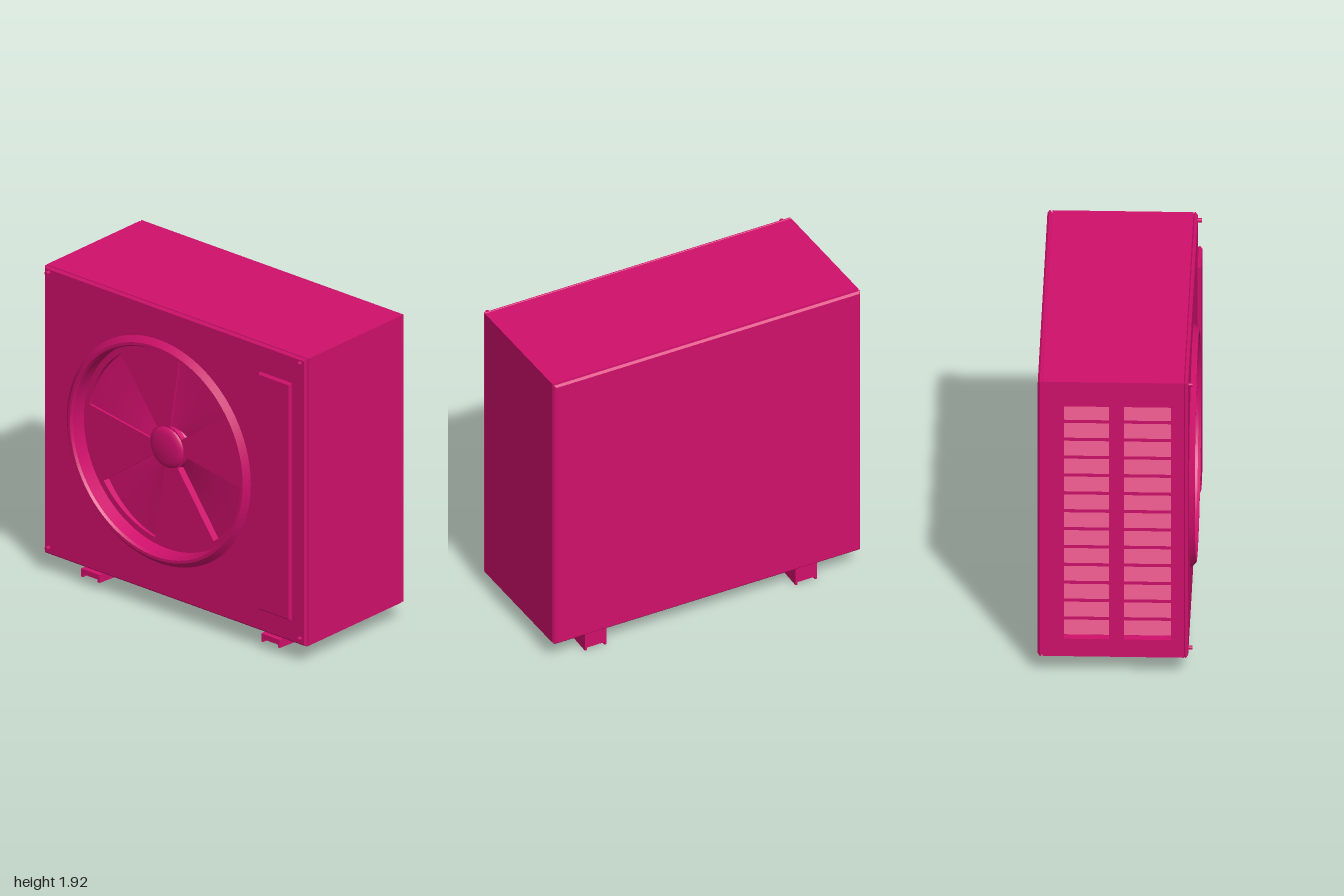
import * as THREE from 'three';
import { toCreasedNormals } from 'three/addons/utils/BufferGeometryUtils.js';

const material = new THREE.MeshStandardMaterial({ color: 0xd0106c, side: THREE.DoubleSide });

export function createModel() {
  const model = new THREE.Group();

  function add(name, geometry, x = 0, y = 0, z = 0, parent = model) {
    const mesh = new THREE.Mesh(toCreasedNormals(geometry, 0.5), material);
    mesh.name = name;
    mesh.position.set(x, y, z);
    parent.add(mesh);
    return mesh;
  }
  const box = (name, w, h, d, x, y, z, parent) =>
    add(name, new THREE.BoxGeometry(w, h, d), x, y, z, parent);

  // Rectangle outline, usable as a shape or as a hole
  function rect(x0, y0, x1, y1) {
    return new THREE.Shape([[x0, y0], [x1, y0], [x1, y1], [x0, y1]].map(p => new THREE.Vector2(...p)));
  }
  // Plate in the xy plane from z = 0 to depth, with chamfered edges
  function plate(shape, depth, bevel = 0, curveSegments = 64) {
    const g = new THREE.ExtrudeGeometry(shape, {
      depth: depth - 2 * bevel, bevelEnabled: bevel > 0, bevelSize: bevel,
      bevelOffset: -bevel, bevelThickness: bevel, bevelSegments: 1, curveSegments,
    });
    return g.translate(0, 0, bevel);
  }
  // Turned part around the z axis from [radius, z] pairs
  function turned(points, segments = 64) {
    return new THREE.LatheGeometry(points.map(p => new THREE.Vector2(...p)), segments).rotateX(Math.PI / 2);
  }

  // Cabinet
  const bottom = 0.115, top = 1.92, midY = (bottom + top) / 2, height = top - bottom;
  const fanX = -0.12, fanY = 1.015;
  const front = rect(-1, bottom, 1, top);
  front.holes.push(new THREE.Path().absarc(fanX, fanY, 0.66, 0, Math.PI * 2, true));
  add('frontPanel', plate(front, 0.03, 0.012), 0, 0, 0.383);
  add('backPanel', plate(rect(-1, bottom, 1, top), 0.03, 0.012), 0, 0, -0.45);
  box('topPanel', 2, 0.03, 0.809, 0, top - 0.015, -0.0165);
  box('bottomPanel', 2, 0.03, 0.809, 0, bottom + 0.015, -0.0165);
  box('leftPanel', 0.03, height - 0.06, 0.809, 0.985, midY, -0.0165);

  // Vented side with two columns of slanted louvers
  const ventBottom = 0.23, ventTop = 1.76, rows = 13;
  const ventColumns = [[-0.3, -0.04], [0.045, 0.315]];
  const side = rect(-0.421, bottom + 0.03, 0.388, top - 0.03);
  for (const [z0, z1] of ventColumns) side.holes.push(rect(z0, ventBottom, z1, ventTop));
  add('rightPanel', plate(side, 0.05).rotateY(-Math.PI / 2), -0.95);
  const vents = new THREE.Group();
  vents.name = 'sideVents';
  model.add(vents);
  const pitch = (ventTop - ventBottom) / rows;
  for (const [z0, z1] of ventColumns) {
    const mid = (z0 + z1) / 2;
    box('ventBacking', 0.01, ventTop - ventBottom, z1 - z0, -0.945, (ventBottom + ventTop) / 2, mid, vents);
    for (let i = 0; i < rows; i++) {
      const slat = box('louver', 0.008, 0.085, z1 - z0, -0.976, ventBottom + (i + 0.55) * pitch, mid, vents);
      slat.rotation.z = -0.45;
    }
  }

  // Fan: flared ring, pierced disc, pitched blades and hub
  const fan = new THREE.Group();
  fan.name = 'fan';
  fan.position.set(fanX, fanY, 0);
  model.add(fan);
  add('fanRing', turned([[0.705, 0.41], [0.668, 0.445], [0.65, 0.445], [0.64, 0.43], [0.636, 0.29]], 96), 0, 0, 0, fan);
  const disc = new THREE.Shape().absarc(0, 0, 0.637, 0, Math.PI * 2);
  const span = Math.PI / 4;
  for (let i = 0; i < 4; i++) {
    const start = THREE.MathUtils.degToRad(36) + i * Math.PI / 2;
    const hole = new THREE.Path();
    hole.absarc(0, 0, 0.6, start, start + span, false);
    hole.absarc(0, 0, 0.135, start + span, start, true);
    hole.closePath();
    disc.holes.push(hole);

    // Blade surface slopes from one radial edge to the other
    const blade = new THREE.RingGeometry(0.13, 0.6, 16, 4, 0, span);
    const p = blade.attributes.position;
    for (let j = 0; j < p.count; j++) {
      const t = Math.atan2(p.getY(j), p.getX(j)) / span;
      p.setZ(j, 0.295 + 0.03 * t);
    }
    blade.computeVertexNormals();
    add('fanBlade', blade, 0, 0, 0, fan).rotation.z = start;
  }
  add('fanDisc', plate(disc, 0.05, 0, 40), 0, 0, 0.29, fan);
  add('fanHub', turned([[0.142, 0.29], [0.125, 0.342], [0.115, 0.352], [0.09, 0.36], [0, 0.36]], 48), 0, 0, 0, fan);

  // Service cover and corner screws
  add('serviceCover', plate(rect(0.66, 0.26, 0.905, 1.75), 0.03, 0.01), 0, 0, 0.411);
  for (const x of [-0.96, 0.96]) for (const y of [0.16, 1.89]) {
    add('screw', new THREE.CylinderGeometry(0.012, 0.012, 0.028, 16).rotateX(Math.PI / 2), x, y, 0.424);
  }

  // Feet: wedges with a flange along each lower edge
  function wedge(width, lift) {
    const s = new THREE.Shape([[-0.435, lift], [0.405, 0.047 + lift], [0.405, 0.097], [-0.435, 0.11]]
      .map(p => new THREE.Vector2(...p)));
    return plate(s, width).rotateY(-Math.PI / 2).translate(width / 2, 0, 0);
  }
  for (const x of [-0.65, 0.725]) {
    const foot = new THREE.Group();
    foot.name = 'foot';
    foot.position.x = x;
    model.add(foot);
    add('footBody', wedge(0.12, 0.018), 0, 0, 0, foot);
    for (const s of [-1, 1]) add('footFlange', wedge(0.014, 0), s * 0.063, 0, 0, foot);
    box('footMount', 0.1, 0.025, 0.7, 0, 0.104, -0.03, foot);
  }
  return model;
}
